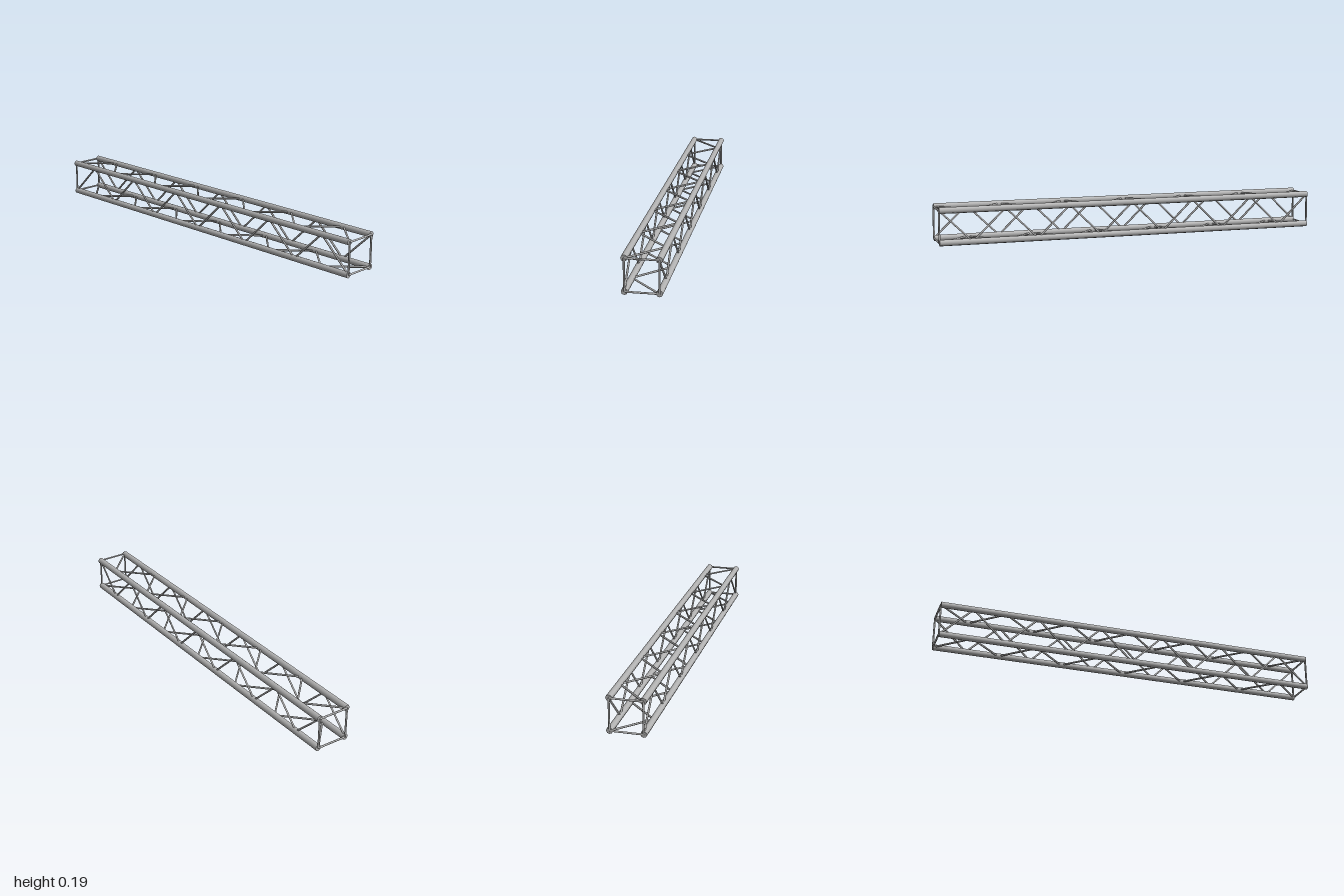
import * as THREE from 'three';

export function createModel() {
  const group = new THREE.Group();
  const metal = new THREE.MeshStandardMaterial({ color: 0xb4b4b4 });
  metal.name = 'brushed grey metal';

  const HALF = 0.995, Z = 0.08, LOW = 0.016, HIGH = 0.176, BAYS = 12;
  const UP = new THREE.Vector3(0, 1, 0);

  // Round bar between two points
  function bar(name, a, b, radius, sides) {
    const from = new THREE.Vector3(...a), to = new THREE.Vector3(...b);
    const dir = to.clone().sub(from);
    const mesh = new THREE.Mesh(new THREE.CylinderGeometry(radius, radius, dir.length(), sides), metal);
    mesh.position.copy(from).add(to).multiplyScalar(0.5);
    mesh.quaternion.setFromUnitVectors(UP, dir.normalize());
    mesh.name = name;
    group.add(mesh);
  }

  // Four long chords
  for (const y of [LOW, HIGH])
    for (const z of [-Z, Z]) bar('chord', [-HALF, y, z], [HALF, y, z], 0.016, 8);

  // Square frame at each end
  for (const x of [-HALF, HALF]) {
    for (const z of [-Z, Z]) bar('endPost', [x, LOW, z], [x, HIGH, z], 0.005, 6);
    for (const y of [LOW, HIGH]) bar('endCrossbar', [x, y, -Z], [x, y, Z], 0.005, 6);
  }

  // Zigzag lacing; opposite faces run in opposite phase
  const nodes = {
    frontLacing: (x, odd) => [x, odd ? HIGH : LOW, Z],
    backLacing: (x, odd) => [x, odd ? LOW : HIGH, -Z],
    topLacing: (x, odd) => [x, HIGH, odd ? -Z : Z],
    bottomLacing: (x, odd) => [x, LOW, odd ? Z : -Z],
  };
  for (const [name, node] of Object.entries(nodes)) {
    for (let i = 0; i < BAYS; i++) {
      const x0 = -HALF + (2 * HALF * i) / BAYS, x1 = x0 + (2 * HALF) / BAYS;
      bar(name, node(x0, i % 2), node(x1, (i + 1) % 2), 0.005, 6);
    }
  }
  return group;
}
